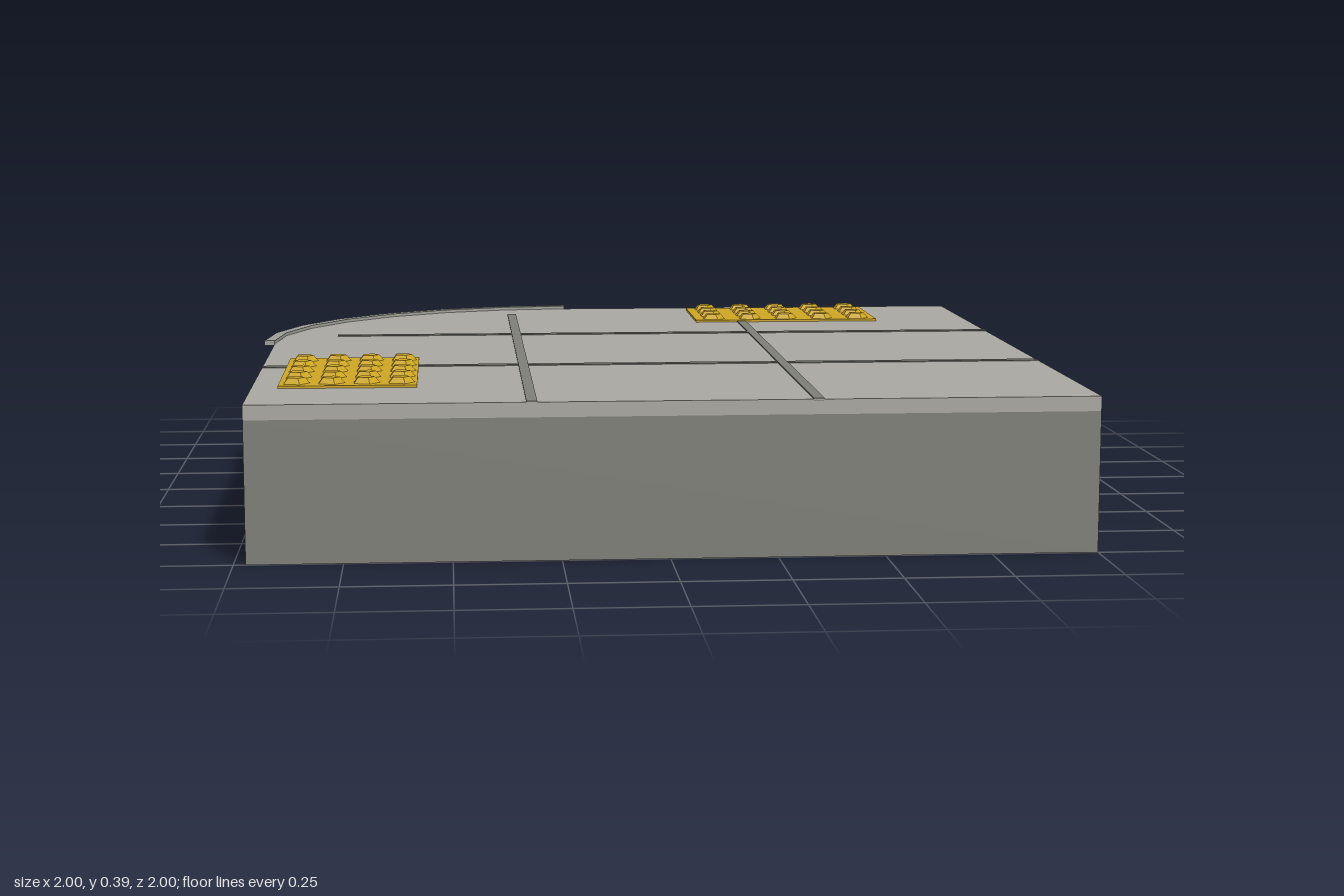
import * as THREE from 'three';

const mat = (color) => new THREE.MeshStandardMaterial({ color, flatShading: true });
const STONE = mat(0xaaa9a2), DARK = mat(0x7f8079), KERB = mat(0xa0a09a), YELLOW = mat(0xd0a824);

const EDGE = -0.972;             // straight back and right edges
const C = -0.155;                // centre of the rounded corner, in x and z
const SEGMENTS = 7;
const TOP = 0.368;

// Points along the rounded corner, as (x, -z), from the back edge to the right edge
function arc(radius) {
  return Array.from({ length: SEGMENTS + 1 }, (_, i) => {
    const a = Math.PI / 2 * (1 + i / SEGMENTS);
    return new THREE.Vector2(C + radius * Math.cos(a), -C + radius * Math.sin(a));
  });
}

// Plan outline raised from y0 to y1
function slab(name, points, y0, y1, material) {
  const geo = new THREE.ExtrudeGeometry(new THREE.Shape(points), { depth: y1 - y0, bevelEnabled: false });
  geo.rotateX(-Math.PI / 2);
  geo.translate(0, y0, 0);
  const mesh = new THREE.Mesh(geo, material);
  mesh.name = name;
  return mesh;
}

function box(name, x0, x1, y0, y1, z0, z1, material) {
  const mesh = new THREE.Mesh(new THREE.BoxGeometry(x1 - x0, y1 - y0, z1 - z0), material);
  mesh.position.set((x0 + x1) / 2, (y0 + y1) / 2, (z0 + z1) / 2);
  mesh.name = name;
  return mesh;
}

// Yellow tactile pad with a grid of five-sided studs
function tactilePad(name, cx, cz, w, d, nx, nz, stepX, stepZ) {
  const pad = new THREE.Group();
  pad.name = name;
  pad.add(box('padPlate', -w / 2, w / 2, TOP - 0.004, TOP + 0.006, -d / 2, d / 2, YELLOW));
  const studGeo = new THREE.CylinderGeometry(0.022, 0.036, 0.016, 5);
  studGeo.rotateY(Math.PI / 2);
  for (let i = 0; i < nx; i++) {
    for (let j = 0; j < nz; j++) {
      const stud = new THREE.Mesh(studGeo, YELLOW);
      stud.name = 'stud';
      stud.position.set((i - (nx - 1) / 2) * stepX, TOP + 0.012, (j - (nz - 1) / 2) * stepZ);
      pad.add(stud);
    }
  }
  pad.position.set(cx, 0, cz);
  return pad;
}

export function createModel() {
  const model = new THREE.Group();
  model.name = 'pavementCorner';

  // Base and paving, with one rounded corner
  const outline = [
    new THREE.Vector2(1, -1), new THREE.Vector2(1, -EDGE),
    ...arc(C - EDGE), new THREE.Vector2(EDGE, -1),
  ];
  model.add(slab('base', outline, 0, 0.333, DARK));
  model.add(slab('paving', outline, 0.333, TOP, STONE));

  // Thin kerb lip overhanging the rounded corner
  model.add(slab('kerbLip', [...arc(0.845), ...arc(0.818).reverse()], 0.363, 0.376, KERB));

  // Joint lines between the paving squares
  const h = 0.0125;
  for (const [at, start] of [[-0.318, -0.81], [0.341, EDGE]]) {
    model.add(box('jointLengthwise', at - h, at + h, TOP - 0.004, TOP + 0.003, start, 1, DARK));
    model.add(box('jointCrosswise', start, 1, TOP - 0.004, TOP + 0.0025, at - h, at + h, DARK));
  }

  // Tactile pads on the two approaches
  model.add(tactilePad('backPad', 0.472, -0.745, 0.525, 0.328, 5, 4, 0.105, 0.083));
  model.add(tactilePad('rightPad', -0.745, 0.472, 0.328, 0.525, 4, 5, 0.083, 0.105));

  return model;
}
